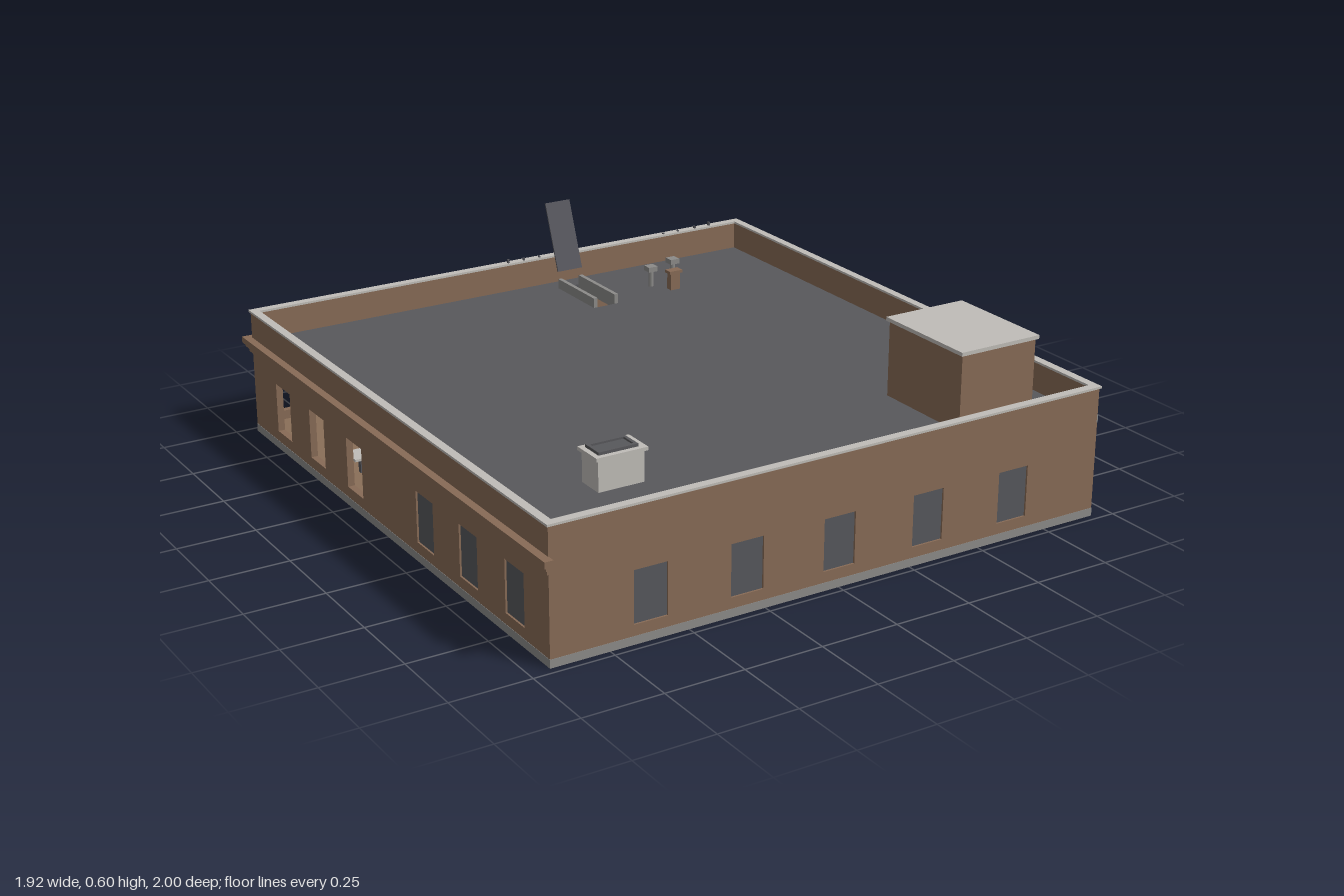
import * as THREE from 'three';

const mat = (name, color) => {
  const m = new THREE.MeshStandardMaterial({ color });
  m.name = name;
  return m;
};

export function createModel() {
  const model = new THREE.Group();
  model.name = 'flatRoofBuilding';

  const brick = mat('brown brick', 0x886b56);
  const roofing = mat('dark roofing', 0x58585b);
  const glass = mat('dark window', 0x57585c);
  const stone = mat('pale stone', 0xc0bdb8);
  const trim = mat('grey trim', 0x8c8b89);
  const wood = mat('brown floor', 0x8a6f58);
  const metal = mat('dark metal', 0x55555b);

  const W = 0.935, D = 0.975, T = 0.022, TOP = 0.412, DECK = 0.322, CEIL = 0.306, BASE = 0.026;
  const WIN = { w: 0.107, y0: 0.06, y1: 0.222 };

  const add = (name, geo, m, parent = model) => {
    const mesh = new THREE.Mesh(geo, m);
    mesh.name = name;
    parent.add(mesh);
    return mesh;
  };
  // Box given by its lower and upper limits on each axis
  const box = (name, m, x0, x1, y0, y1, z0, z1, parent = model) => {
    const mesh = add(name, new THREE.BoxGeometry(x1 - x0, y1 - y0, z1 - z0), m, parent);
    mesh.position.set((x0 + x1) / 2, (y0 + y1) / 2, (z0 + z1) / 2);
  };
  const rect = (C, x0, x1, y0, y1) => {
    const s = new C();
    s.moveTo(x0, y0).lineTo(x1, y0).lineTo(x1, y1).lineTo(x0, y1).closePath();
    return s;
  };
  // Flat slab with holes lying in the xz plane; rectangles are [x0, x1, z0, z1]
  const slab = (name, m, outer, holes, y, h) => {
    const flip = ([x0, x1, z0, z1]) => [x0, x1, -z1, -z0];
    const s = rect(THREE.Shape, ...flip(outer));
    holes.forEach(o => s.holes.push(rect(THREE.Path, ...flip(o))));
    const geo = new THREE.ExtrudeGeometry(s, { depth: h, bevelEnabled: false });
    geo.rotateX(-Math.PI / 2);
    add(name, geo, m).position.y = y;
  };

  // Walls with open or glazed windows; local +z points outwards
  const wall = (name, half, dist, angle, open, closed) => {
    const g = new THREE.Group();
    g.name = name;
    const s = rect(THREE.Shape, -half, half, BASE, TOP);
    [...open, ...closed].forEach(c =>
      s.holes.push(rect(THREE.Path, c - WIN.w / 2, c + WIN.w / 2, WIN.y0, WIN.y1)));
    const geo = new THREE.ExtrudeGeometry(s, { depth: T, bevelEnabled: false });
    add(name + 'Brickwork', geo, brick, g).position.z = dist - T;
    closed.forEach(c => box('windowPane', glass, c - WIN.w / 2, c + WIN.w / 2,
      WIN.y0, WIN.y1, dist - 0.014, dist - 0.006, g));
    g.rotation.y = angle;
    model.add(g);
  };
  const row = (n, step) => Array.from({ length: n }, (_, i) => (i - (n - 1) / 2) * step);
  wall('frontWall', W, D, 0, [], row(5, 0.311));
  wall('backWall', W, D, Math.PI, row(7, 0.266), []);
  wall('leftSideWall', D - T, W, Math.PI / 2, [], []);
  wall('windowedSideWall', D - T, W, -Math.PI / 2, [-0.745, -0.49, -0.22], [0.25, 0.517, 0.784]);

  // Base and ground floor
  box('plinth', trim, -W - 0.001, W + 0.001, 0, BASE, -D - 0.001, D + 0.001);
  box('groundFloor', wood, -W + T, W - T, BASE, BASE + 0.004, -D + T, D - T);

  // Roof deck and ceiling with stair opening, and parapet coping
  const HX0 = 0.153, HX1 = 0.247, HZ0 = -0.89, HZ1 = -0.65;
  const inside = [-W + T, W - T, -D + T, D - T];
  const opening = [HX0 + 0.012, HX1 - 0.012, HZ0, HZ1];
  slab('roofDeck', roofing, inside, [opening], DECK - 0.012, 0.012);
  slab('ceiling', trim, inside, [opening], CEIL, DECK - 0.012 - CEIL);
  slab('parapetCoping', stone, [-0.94, 0.94, -0.98, 0.98],
    [[-0.913, 0.913, -0.952, 0.952]], TOP, 0.007);

  // Furniture inside the open windows
  box('cabinet', stone, 0.56, 0.76, 0.03, 0.2, -0.82, -0.76);
  [[0.02, -0.82], [-0.2, -0.82], [-0.82, -0.42], [-0.82, -0.15]].forEach(([x, z]) => {
    box('tableTop', stone, x - 0.04, x + 0.04, 0.085, 0.093, z - 0.04, z + 0.04);
    box('tableLeg', metal, x - 0.008, x + 0.008, 0.03, 0.085, z - 0.008, z + 0.008);
  });

  // Stepped cornice on the back and one side, plain band on the other side
  [[0.305, 0.325, 0.025], [0.293, 0.305, 0.017], [0.278, 0.293, 0.009]].forEach(([y0, y1, o]) => {
    box('backCornice', brick, -W - o, W + o * 0.9, y0, y1, -D - o, -D + 0.002);
    box('sideCornice', brick, -W - o, -W + 0.002, y0, y1, -D, D + o);
  });
  box('sideBand', trim, W - 0.002, W + 0.002, 0.303, 0.327, -0.955, D);

  // Roof bulkhead with cap and door
  box('bulkhead', brick, 0.507, 0.779, DECK, 0.562, 0.508, 0.857);
  box('bulkheadCap', stone, 0.499, 0.786, 0.562, 0.574, 0.5, 0.865);
  box('bulkheadDoor', brick, 0.58, 0.68, DECK, 0.485, 0.502, 0.508);
  box('doorHead', metal, 0.605, 0.668, 0.485, 0.49, 0.501, 0.508);

  // Skylight with a raised dark frame around the glass
  box('skylightCurb', stone, -0.612, -0.463, DECK, 0.42, 0.592, 0.682);
  box('skylightRim', stone, -0.622, -0.455, 0.418, 0.429, 0.585, 0.69);
  slab('skylightFrame', roofing, [-0.606, -0.478, 0.601, 0.674],
    [[-0.596, -0.488, 0.611, 0.664]], 0.429, 0.009);
  box('skylightGlass', glass, -0.596, -0.488, 0.428, 0.432, 0.611, 0.664);

  // Roof hatch: side curbs, descending stair and raised lid
  [HX0, HX1 - 0.014].forEach(x => box('hatchCurb', trim, x, x + 0.014, CEIL, 0.355, HZ0, HZ1));
  const steps = 12, run = (HZ1 - HZ0) / steps;
  for (let i = 0; i < steps; i++) {
    const z = HZ1 - i * run, y = DECK - 0.012 - i * 0.022;
    box('stairStep', metal, HX0 + 0.012, HX1 - 0.012, y - 0.035, y, z - run, z);
    box('stairNosing', trim, HX0 + 0.012, HX1 - 0.012, y, y + 0.003, z - run, z - run + 0.006);
  }
  const lid = add('hatchLid', new THREE.BoxGeometry(HX1 - HX0, 0.237, 0.005), metal);
  lid.position.set((HX0 + HX1) / 2, 0.491, -0.9335);
  lid.rotation.x = -Math.atan2(0.083, 0.225);

  // Chimney and vents
  box('chimney', brick, 0.468, 0.505, DECK, 0.38, -0.692, -0.668);
  box('chimneyCap', brick, 0.462, 0.511, 0.38, 0.39, -0.696, -0.664);
  [[0.435, -0.745], [0.543, -0.778]].forEach(([x, z]) => {
    const pipe = add('ventPipe', new THREE.CylinderGeometry(0.009, 0.009, 0.06, 8), trim);
    pipe.position.set(x, DECK + 0.03, z);
    box('ventCap', trim, x - 0.017, x + 0.017, DECK + 0.055, DECK + 0.072, z - 0.017, z + 0.017);
  });

  // Small posts along the back parapet
  [[0, 0.432], [0.06, 0.427], [0.12, 0.423], [0.62, 0.423], [0.68, 0.423], [0.75, 0.427], [0.81, 0.432]]
    .forEach(([x, y]) => box('parapetPost', metal, x - 0.003, x + 0.003, TOP, y, -0.967, -0.958));

  return model;
}
